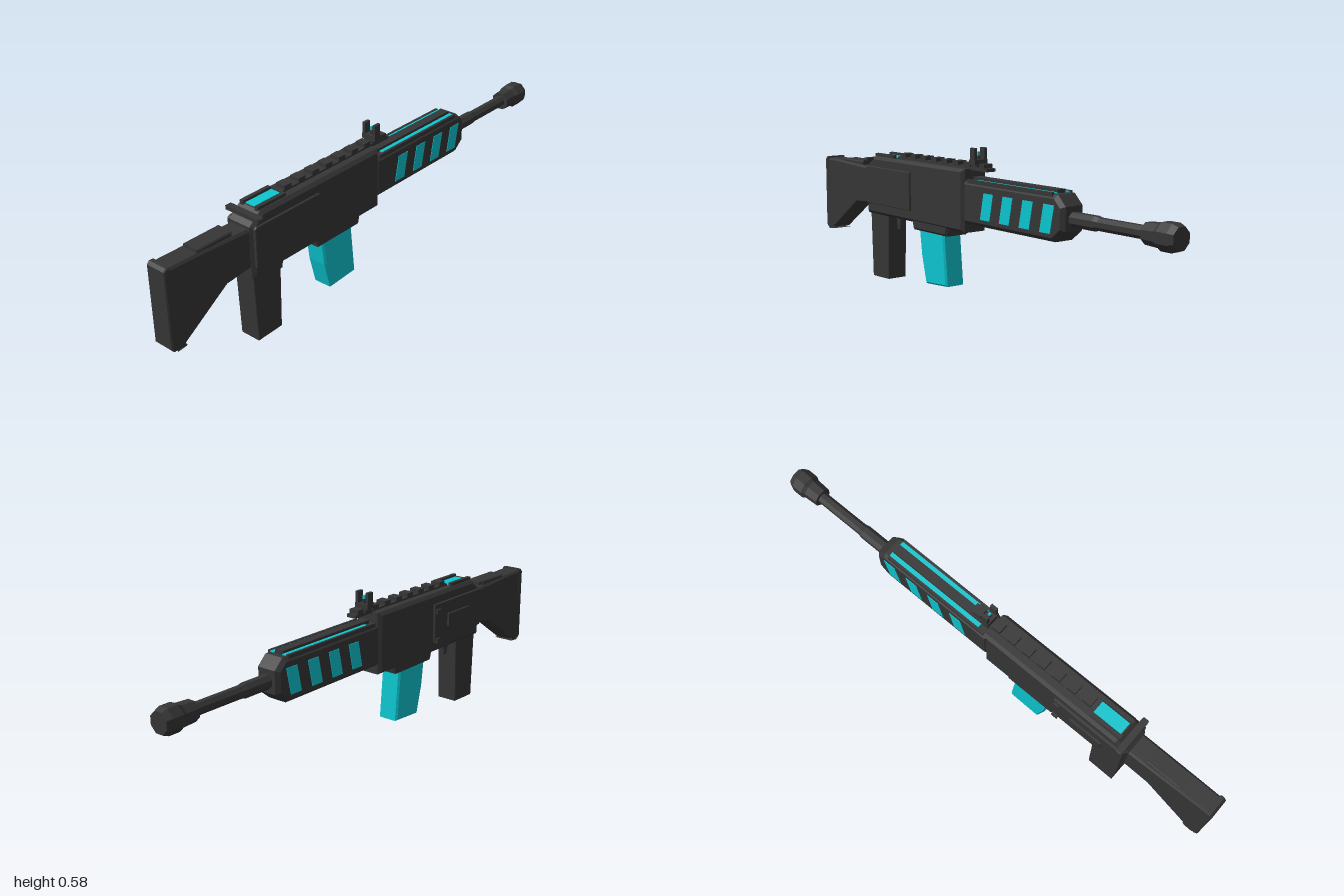
import * as THREE from 'three';

const dark = new THREE.MeshStandardMaterial({ color: 0x363636 });
dark.name = 'charcoal';
const cyan = new THREE.MeshStandardMaterial({ color: 0x0cc6d0 });
cyan.name = 'cyan';

export function createModel() {
  const root = new THREE.Group();
  root.name = 'toyRifle';

  const add = (name, geometry, material = dark) => {
    const mesh = new THREE.Mesh(geometry, material);
    mesh.name = name;
    root.add(mesh);
    return mesh;
  };

  // Box given by its extents on each axis
  const box = (name, x0, x1, y0, y1, z0, z1, material) => {
    const g = new THREE.BoxGeometry(x1 - x0, y1 - y0, z1 - z0);
    g.translate((x0 + x1) / 2, (y0 + y1) / 2, (z0 + z1) / 2);
    return add(name, g, material);
  };

  // Side profile of [z, y] points, extruded across x with chamfered edges
  const slab = (name, points, halfWidth, bevel, material, cx = 0) => {
    const shape = new THREE.Shape(points.map(([z, y]) => new THREE.Vector2(z, y)));
    const depth = 2 * (halfWidth - bevel);
    const g = new THREE.ExtrudeGeometry(shape, {
      depth, bevelEnabled: bevel > 0, bevelSize: bevel, bevelThickness: bevel,
      bevelOffset: -bevel, bevelSegments: 1,
    });
    g.translate(0, 0, -depth / 2).rotateY(-Math.PI / 2).translate(cx, 0, 0);
    return add(name, g, material);
  };

  // Faceted tube along the barrel axis, from [radius, z] points
  const turned = (name, points) => {
    const g = new THREE.LatheGeometry(points.map(([r, z]) => new THREE.Vector2(r, -z)), 8, Math.PI / 8);
    const flat = g.rotateX(-Math.PI / 2).translate(0, 0.38, 0).toNonIndexed();
    flat.computeVertexNormals();
    return add(name, flat);
  };

  // Stock, narrowing towards the butt
  const stock = slab('stock', [[0.985, 0.465], [0.86, 0.462], [0.63, 0.452], [0.63, 0.305],
    [0.75, 0.293], [0.935, 0.165], [0.985, 0.165]], 0.045, 0.008);
  const p = stock.geometry.attributes.position;
  for (let i = 0; i < p.count; i++) p.setX(i, p.getX(i) * (1 - 0.13 * (p.getZ(i) - 0.63) / 0.355));
  stock.geometry.computeVertexNormals();
  slab('buttPad', [[1, 0.46], [0.99, 0.47], [0.975, 0.47], [0.975, 0.158], [0.935, 0.158],
    [0.945, 0.156], [0.99, 0.158], [1, 0.17]], 0.042, 0.004);
  slab('cheekRest', [[0.86, 0.472], [0.71, 0.472], [0.71, 0.445], [0.86, 0.445]], 0.034, 0.004);

  // Receiver
  slab('receiver', [[0.647, 0.265], [0.647, 0.462], [0.595, 0.503], [0, 0.503], [0, 0.265]], 0.058, 0.012);
  slab('rightPanel', [[0.638, 0.31], [0.638, 0.455], [0.63, 0.462], [0.33, 0.462], [0.33, 0.31]], 0.01, 0.002, dark, 0.056);
  slab('leftPanel', [[0.638, 0.31], [0.638, 0.455], [0.63, 0.462], [0.33, 0.462], [0.33, 0.31]], 0.01, 0.002, dark, -0.057);
  box('ejectionDoor', -0.075, -0.06, 0.36, 0.41, 0.41, 0.55);
  for (const y of [0.315, 0.433]) box('doorHinge', -0.075, -0.06, y - 0.009, y + 0.009, 0.335, 0.36);

  // Charging handle
  slab('chargingHandle', [[0.635, 0.481], [0.635, 0.496], [0.61, 0.496], [0.61, 0.481]], 0.079, 0.004);

  // Rear sight bed
  box('rearSightPlate', -0.026, 0.026, 0.499, 0.506, 0.47, 0.59, cyan);
  for (const s of [-1, 1]) {
    const rail = box('rearSightRail', -0.0075, 0.0075, 0.49, 0.515, 0.47, 0.6);
    rail.position.x = s * 0.0345;
  }

  // Toothed top rail
  box('topRail', -0.02, 0.02, 0.498, 0.51, -0.095, 0.47);
  for (let i = 0; i < 8; i++) {
    const z = 0.435 - i * 0.0685;
    if (i < 7) box('railTooth', -0.02, 0.02, 0.505, 0.525, z - 0.017, z + 0.017);
  }
  box('railTooth', -0.02, 0.02, 0.505, 0.525, -0.08, -0.05);

  // Front sight
  box('frontSightBase', -0.03, 0.03, 0.519, 0.538, -0.038, -0.005);
  box('frontSightFoot', -0.02, 0.02, 0.503, 0.522, -0.038, -0.005);
  for (const s of [-1, 1]) {
    const post = box('frontSightPost', -0.006, 0.006, 0.52, 0.581, -0.036, -0.008);
    post.position.x = s * 0.0235;
  }
  box('sightPin', -0.004, 0.004, 0.535, 0.553, -0.026, -0.018);
  box('sightBead', -0.0045, 0.0045, 0.553, 0.567, -0.026, -0.018, cyan);

  // Handguard with slanted windows
  slab('handguard', [[0.01, 0.3], [0.01, 0.462], [-0.495, 0.462], [-0.533, 0.425], [-0.533, 0.34], [-0.485, 0.3]], 0.052, 0.014);
  box('handguardRib', -0.018, 0.018, 0.455, 0.475, -0.47, -0.015);
  for (const s of [-1, 1]) {
    const strip = box('topStrip', -0.009, 0.009, 0.459, 0.466, -0.475, -0.045, cyan);
    strip.position.x = s * 0.028;
    const edge = box('stripEdge', -0.005, 0.005, 0.448, 0.468, -0.475, -0.015);
    edge.position.x = s * 0.042;
    for (let i = 0; i < 4; i++) {
      const z = -0.098 - i * 0.107;
      slab('sideWindow', [[z, 0.328], [z - 0.053, 0.328], [z - 0.073, 0.427], [z - 0.02, 0.427]], 0.003, 0, cyan, s * 0.051);
    }
  }

  // Barrel and muzzle
  turned('barrel', [[0.027, -0.52], [0.027, -0.64], [0.023, -0.66], [0.023, -0.88]]);
  turned('muzzle', [[0, -0.865], [0.038, -0.865], [0.041, -0.92], [0.049, -0.935], [0.049, -0.978], [0.04, -1], [0, -1]]);

  // Magazine and its well
  slab('magazineWell', [[0.335, 0.28], [0.325, 0.236], [0.11, 0.236], [0.1, 0.28]], 0.053, 0.008);
  slab('magazine', [[0.298, 0.25], [0.284, 0.14], [0.256, 0.03], [0.12, 0.038], [0.14, 0.25]], 0.043, 0.007, cyan);

  // Grip and trigger
  slab('grip', [[0.638, 0.275], [0.628, 0], [0.515, 0.003], [0.508, 0.275]], 0.043, 0.002);
  slab('trigger', [[0.5, 0.275], [0.488, 0.21], [0.47, 0.21], [0.465, 0.275]], 0.014, 0.002);

  return root;
}
